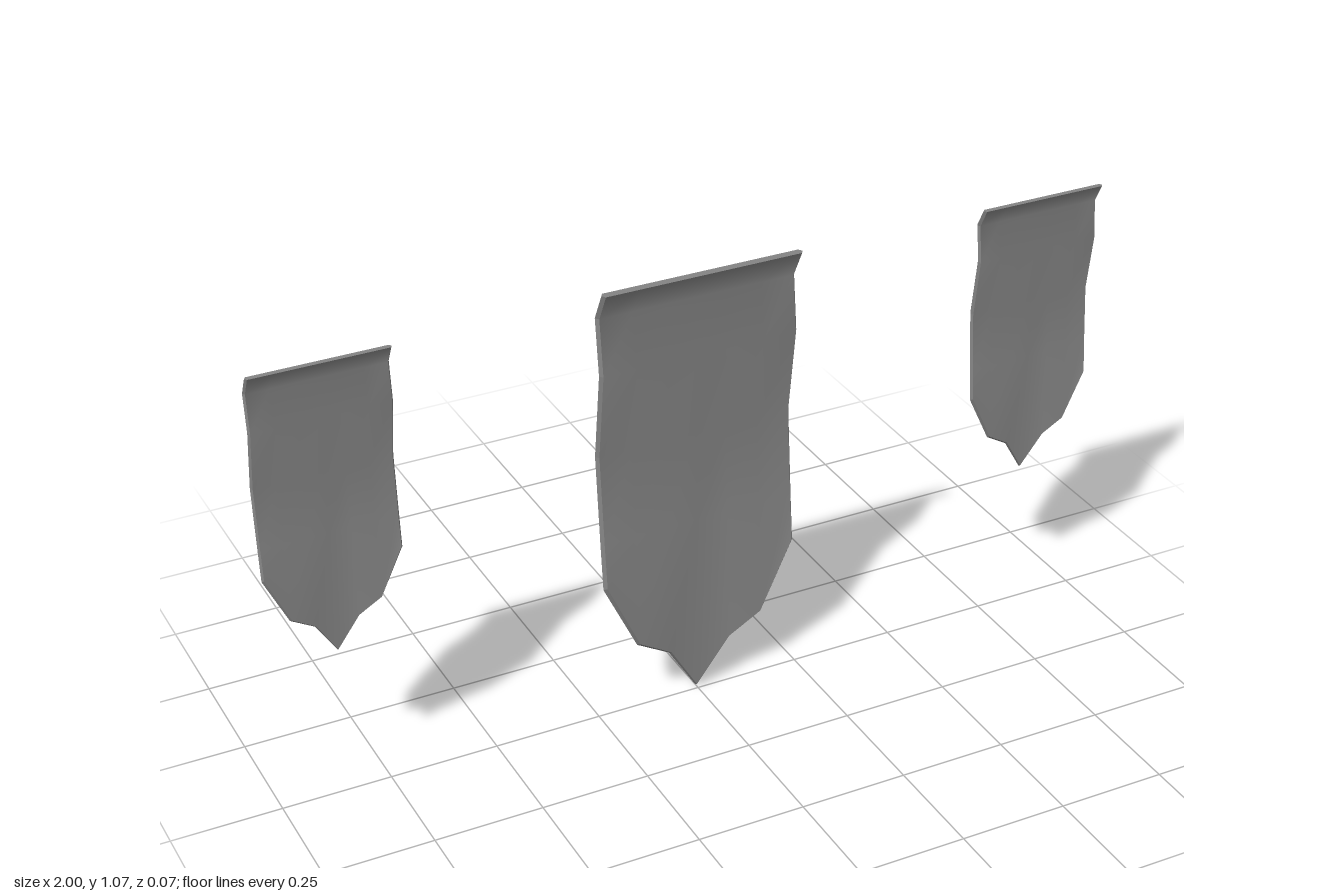
import * as THREE from 'three';
import { mergeGeometries } from 'three/addons/utils/BufferGeometryUtils.js';

const THICK = 0.019;
// columns across the cloth, with height and depth of the pointed hem
const COLS = [-0.235, -0.155, -0.075, 0, 0.075, 0.155, 0.235];
const HEM = [[0.337, 0.005], [0.168, 0.005], [0.121, 0.002], [0, -0.015]];
// wave of the cloth from the top edge down: [y, z]
const WAVE = [[1.067, 0.025], [1.0, -0.01], [0.87, 0.005], [0.66, -0.024], [0.45, -0.006]];

// side: 1 front face, -1 back face, 0 outermost line of the bevelled border
function clothPoint(col, row, side) {
  const fromEdge = Math.min(col, COLS.length - 1 - col);
  const inset = side === 0 ? 0 : 0.006;
  const x = COLS[col] * (1 - inset / 0.235);
  const offset = side * THICK / 2;
  if (row === WAVE.length) {
    const [y, z] = HEM[fromEdge];
    return [x, y + inset, z + offset];
  }
  const [y, z] = WAVE[row];
  // the lower cloth sags backward in the middle
  const sag = row === WAVE.length - 1 ? -0.006 * fromEdge / 3 : 0;
  return [x, y, z + sag + offset];
}

// one face of the cloth, bent from a plane
function sheet(side) {
  const nc = COLS.length, nr = WAVE.length;
  const geo = new THREE.PlaneGeometry(1, 1, nc - 1, nr);
  for (let r = 0; r <= nr; r++) {
    for (let c = 0; c < nc; c++) {
      geo.attributes.position.setXYZ(r * nc + c, ...clothPoint(c, r, side));
    }
  }
  if (side < 0) geo.index.array.reverse();
  geo.computeVertexNormals();
  geo.deleteAttribute('uv');
  return geo.toNonIndexed();
}

// bevelled border joining the two faces
function rim() {
  const last = COLS.length - 1, rows = WAVE.length, loop = [];
  for (let r = 0; r < rows; r++) loop.push([0, r]);
  for (let c = 0; c < last; c++) loop.push([c, rows]);
  for (let r = rows; r > 0; r--) loop.push([last, r]);
  for (let c = last; c > 0; c--) loop.push([c, 0]);
  const verts = [];
  loop.forEach((a, i) => {
    const b = loop[(i + 1) % loop.length];
    for (const [front, back] of [[1, 0], [0, -1]]) {
      verts.push(...clothPoint(...a, front), ...clothPoint(...a, back), ...clothPoint(...b, back));
      verts.push(...clothPoint(...a, front), ...clothPoint(...b, back), ...clothPoint(...b, front));
    }
  });
  const geo = new THREE.BufferGeometry();
  geo.setAttribute('position', new THREE.Float32BufferAttribute(verts, 3));
  geo.computeVertexNormals();
  return geo;
}

export function createModel() {
  const group = new THREE.Group();
  group.name = 'hangingBanners';
  const material = new THREE.MeshStandardMaterial({ color: 0x848484 });
  const geometry = mergeGeometries([sheet(1), sheet(-1), rim()]);

  const addBanner = (name, x, y, scale) => {
    const banner = new THREE.Mesh(geometry, material);
    banner.name = name;
    banner.position.set(x, y, 0);
    banner.scale.setScalar(scale);
    group.add(banner);
  };
  addBanner('centerBanner', 0, 0, 1);
  addBanner('leftBanner', 0.846, 0.359, 0.655);
  addBanner('rightBanner', -0.846, 0.359, 0.655);
  return group;
}
